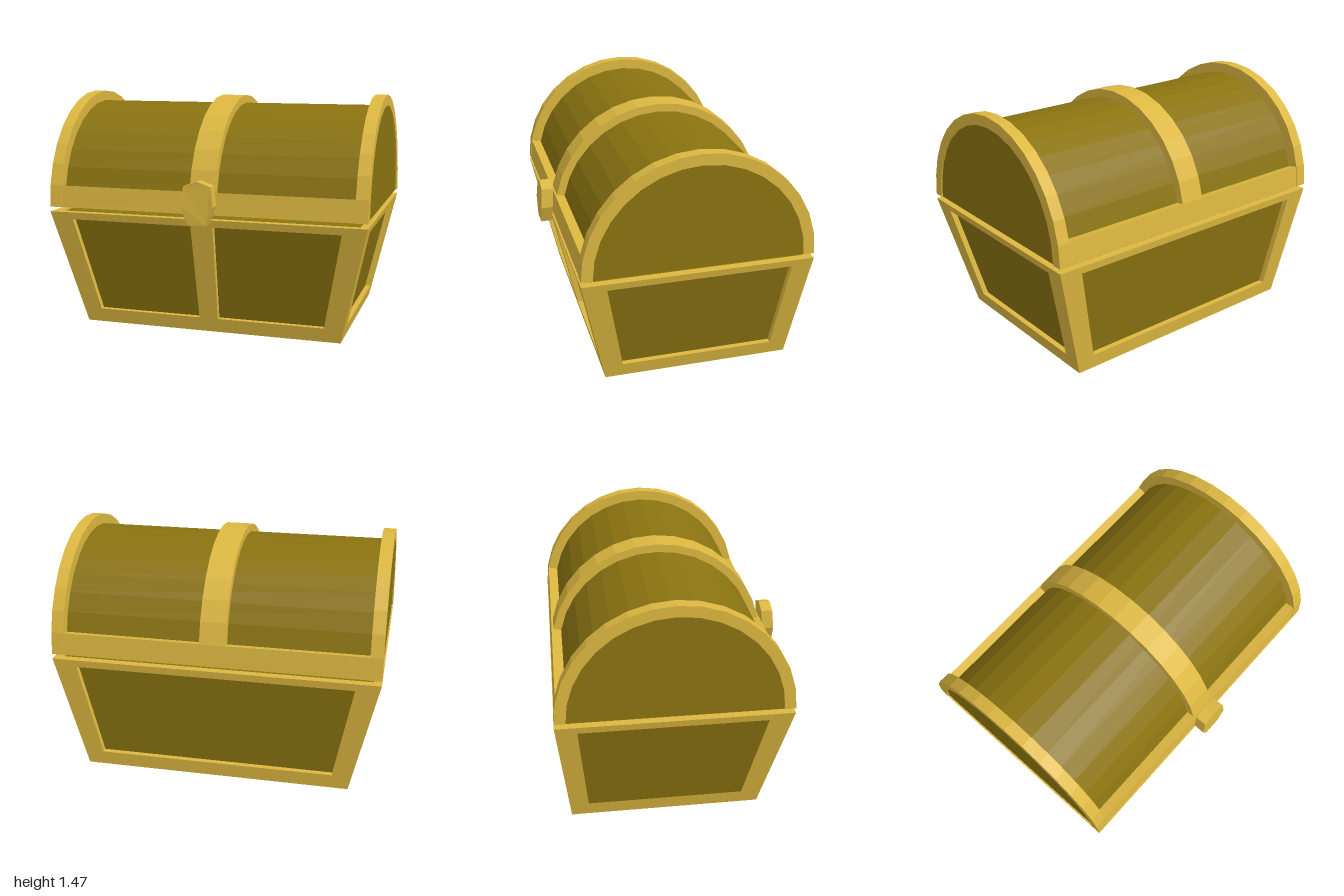
import * as THREE from 'three';

const gold = new THREE.MeshStandardMaterial({ color: 0xdcb740 });
gold.name = 'gold trim';
const wood = new THREE.MeshStandardMaterial({ color: 0x8a7310 });
wood.name = 'olive panel';

// Base walls lean outwards: position of each wall at height y
const H = 0.74;
const xSide = y => 0.83 + 0.17 * y / H;
const zFront = y => 0.5 + 0.16 * y / H;
const zBack = y => -0.655 - 0.075 * y / H;

const LID_Y = 0.77, LID_Z = -0.035, SEGMENTS = 16;

function addMesh(group, name, geometry, material) {
  const mesh = new THREE.Mesh(geometry, material);
  mesh.name = name;
  group.add(mesh);
  return mesh;
}

function moveVertices(geometry, rule) {
  const pos = geometry.attributes.position;
  const v = new THREE.Vector3();
  for (let i = 0; i < pos.count; i++) {
    rule(v.fromBufferAttribute(pos, i));
    pos.setXYZ(i, v.x, v.y, v.z);
  }
  geometry.computeVertexNormals();
  return geometry;
}

const toShape = points => new THREE.Shape(points.map(p => new THREE.Vector2(p[0], p[1])));

// Flat frame with openings; depth runs from -0.05 to 0 along z
function framePlate(outline, holes) {
  const shape = toShape(outline);
  holes.forEach(h => shape.holes.push(new THREE.Path(h.map(p => new THREE.Vector2(p[0], p[1])))));
  return new THREE.ExtrudeGeometry(shape, { depth: 0.05, bevelEnabled: false }).translate(0, 0, -0.05);
}

// Faceted arc in the lid's cross-section, from segment s0 to s1
function arc(radius, s0, s1) {
  const pts = [];
  for (let i = s0; i <= s1; i++) {
    const t = Math.PI * i / SEGMENTS;
    pts.push([radius * Math.cos(t), radius * Math.sin(t)]);
  }
  return pts;
}

// Sweep a lid cross-section along x between x0 and x1
function lidPiece(points, x0, x1) {
  return new THREE.ExtrudeGeometry(toShape(points), { depth: x1 - x0, bevelEnabled: false })
    .rotateY(Math.PI / 2).translate(x0, LID_Y, LID_Z);
}
const ring = (inner, outer, s0, s1) => [...arc(outer, s0, s1), ...arc(inner, s0, s1).reverse()];

function buildBase() {
  const base = new THREE.Group();
  base.name = 'base';

  // Recessed panels: one tapered box inside the frames
  const inset = 0.035;
  const core = moveVertices(new THREE.BoxGeometry(1, 1, 1), v => {
    v.y = v.y > 0 ? H - 0.01 : 0.012;
    v.x = Math.sign(v.x) * (xSide(v.y) - inset);
    v.z = v.z > 0 ? zFront(v.y) - inset : zBack(v.y) + inset;
  });
  addMesh(base, 'basePanels', core, wood);

  // Front frame has a centre post, back frame is a single opening
  const wide = [[-0.83, 0], [0.83, 0], [1, H], [-1, H]];
  const rightHole = [[0.06, 0.09], [0.73, 0.09], [0.85, 0.695], [0.07, 0.695]];
  const leftHole = rightHole.map(([x, y]) => [-x, y]);
  const front = framePlate(wide, [rightHole, leftHole]);
  addMesh(base, 'frontFrame', moveVertices(front, v => { v.z += zFront(v.y); }), gold);

  const back = framePlate(wide, [[[-0.73, 0.09], [0.73, 0.09], [0.85, 0.695], [-0.85, 0.695]]]);
  back.rotateY(Math.PI);
  addMesh(base, 'backFrame', moveVertices(back, v => { v.z += zBack(v.y); }), gold);

  // Side frames, outlined in z and y
  const outline = [[0.5, 0], [-0.655, 0], [-0.73, H], [0.66, H]];
  const hole = [[0.395, 0.09], [-0.55, 0.09], [-0.6, 0.695], [0.51, 0.695]];
  for (const side of [1, -1]) {
    const flip = ([z, y]) => [-side * z, y];
    const plate = framePlate(outline.map(flip), [hole.map(flip)]);
    plate.rotateY(side * Math.PI / 2);
    moveVertices(plate, v => { v.x += side * xSide(v.y); });
    addMesh(base, side > 0 ? 'leftFrame' : 'rightFrame', plate, gold);
  }
  return base;
}

function buildLid() {
  const lid = new THREE.Group();
  lid.name = 'lid';
  addMesh(lid, 'lidBarrel', lidPiece(arc(0.63, 0, SEGMENTS), -0.992, 0.992), wood);

  // Arched straps at both ends and the middle
  const endRing = ring(0.628, 0.695, 0, SEGMENTS);
  addMesh(lid, 'leftStrap', lidPiece(endRing, 0.925, 1), gold);
  addMesh(lid, 'rightStrap', lidPiece(endRing, -1, -0.925), gold);
  addMesh(lid, 'middleStrap', lidPiece(ring(0.62, 0.68, 0, SEGMENTS), -0.08, 0.08), gold);

  // Straight bands along the lower front and back edges
  addMesh(lid, 'backBand', lidPiece(ring(0.625, 0.692, 0, 1), -0.93, 0.93), gold);
  addMesh(lid, 'frontBand', lidPiece(ring(0.625, 0.692, SEGMENTS - 1, SEGMENTS), -0.93, 0.93), gold);
  return lid;
}

// Faceted clasp, its lower half set slightly forward
function buildClasp(group) {
  const half = [[0.06, 0.72], [0.1, 0.83], [0.085, 0.95]];
  const points = [...half, [0, 0.98], ...half.map(([x, y]) => [-x, y]).reverse()];
  const clasp = new THREE.ExtrudeGeometry(toShape(points), { depth: 0.073, bevelEnabled: false });
  moveVertices(clasp, v => { v.z += v.y < 0.9 ? 0.665 : 0.655; });
  addMesh(group, 'clasp', clasp, gold);
}

export function createModel() {
  const chest = new THREE.Group();
  chest.name = 'chest';
  chest.add(buildBase(), buildLid());
  buildClasp(chest);
  return chest;
}
